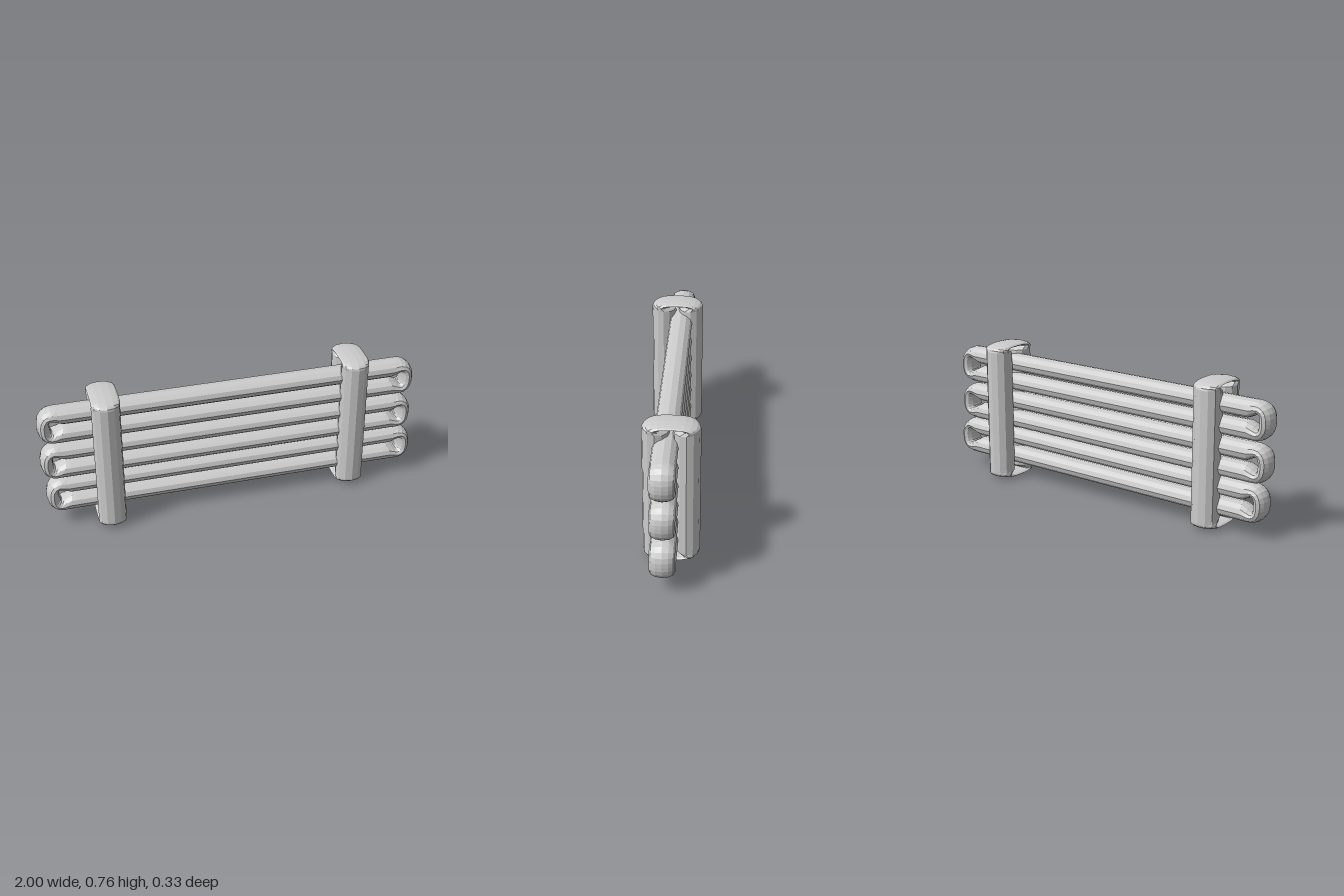
import * as THREE from 'three';

const HALF_LENGTH = 0.9925, HALF_WIDTH = 0.0615, SIDES = 12;

// A quarter of the closed link: [outer inset, outer height, inner inset, inner height],
// insets measured from the end of the link
const QUARTER = [
  [0.000, 0.000, 0.065, 0.000],
  [0.001, 0.022, 0.066, 0.020],
  [0.008, 0.048, 0.069, 0.033],
  [0.023, 0.072, 0.075, 0.037],
  [0.046, 0.090, 0.083, 0.034],
  [0.072, 0.099, 0.098, 0.023],
  [0.100, 0.1015, 0.130, 0.007],
  [0.150, 0.1015, 0.150, 0.006],
];

// Long closed link: oval sections swept between an outer and an inner outline
function linkGeometry() {
  const place = (sx, sy) => ([a, b, c, d]) =>
    [sx * (HALF_LENGTH - a), sy * b, sx * (HALF_LENGTH - c), sy * d];
  const back = [...QUARTER].reverse();
  const path = [
    ...QUARTER.map(place(1, 1)),
    ...back.map(place(-1, 1)),
    ...QUARTER.slice(1).map(place(-1, -1)),
    ...back.slice(0, -1).map(place(1, -1)),
  ];
  const positions = [], index = [];
  path.forEach(([ox, oy, ix, iy], i) => {
    const next = (i + 1) % path.length;
    for (let j = 0; j < SIDES; j++) {
      const angle = (j / SIDES) * Math.PI * 2;
      const k = (1 + Math.cos(angle)) / 2;
      positions.push(ix + (ox - ix) * k, iy + (oy - iy) * k, HALF_WIDTH * Math.sin(angle));
      const j2 = (j + 1) % SIDES;
      const a = i * SIDES + j, b = next * SIDES + j;
      const c = next * SIDES + j2, d = i * SIDES + j2;
      index.push(a, b, c, a, c, d);
    }
  });
  const geometry = new THREE.BufferGeometry();
  geometry.setAttribute('position', new THREE.Float32BufferAttribute(positions, 3));
  geometry.setIndex(index);
  geometry.computeVertexNormals();
  return geometry;
}

export function createModel() {
  const model = new THREE.Group();
  model.name = 'bundle';
  const material = new THREE.MeshStandardMaterial({ color: 0xcccccc, flatShading: true });
  const link = linkGeometry();

  const add = (name, geometry, x, y, z) => {
    const mesh = new THREE.Mesh(geometry, material);
    mesh.name = name;
    mesh.position.set(x, y, z);
    model.add(mesh);
  };

  // Three long links stacked on top of each other
  add('lowerLink', link, 0.0075, 0.174, 0);
  add('middleLink', link, -0.0075, 0.379, 0);
  add('upperLink', link, -0.0075, 0.592, 0);

  // Two short, wide links stood upright around the stack
  const strap = link.clone().scale(0.382, 1.38, 1.18);
  strap.applyMatrix4(new THREE.Matrix4().makeBasis(
    new THREE.Vector3(0, 1, 0), new THREE.Vector3(0, 0, 1), new THREE.Vector3(1, 0, 0)));
  strap.computeVertexNormals();
  add('rightStrap', strap, -0.663, 0.379, 0.021);
  add('leftStrap', strap, 0.647, 0.379, -0.025);

  return model;
}
